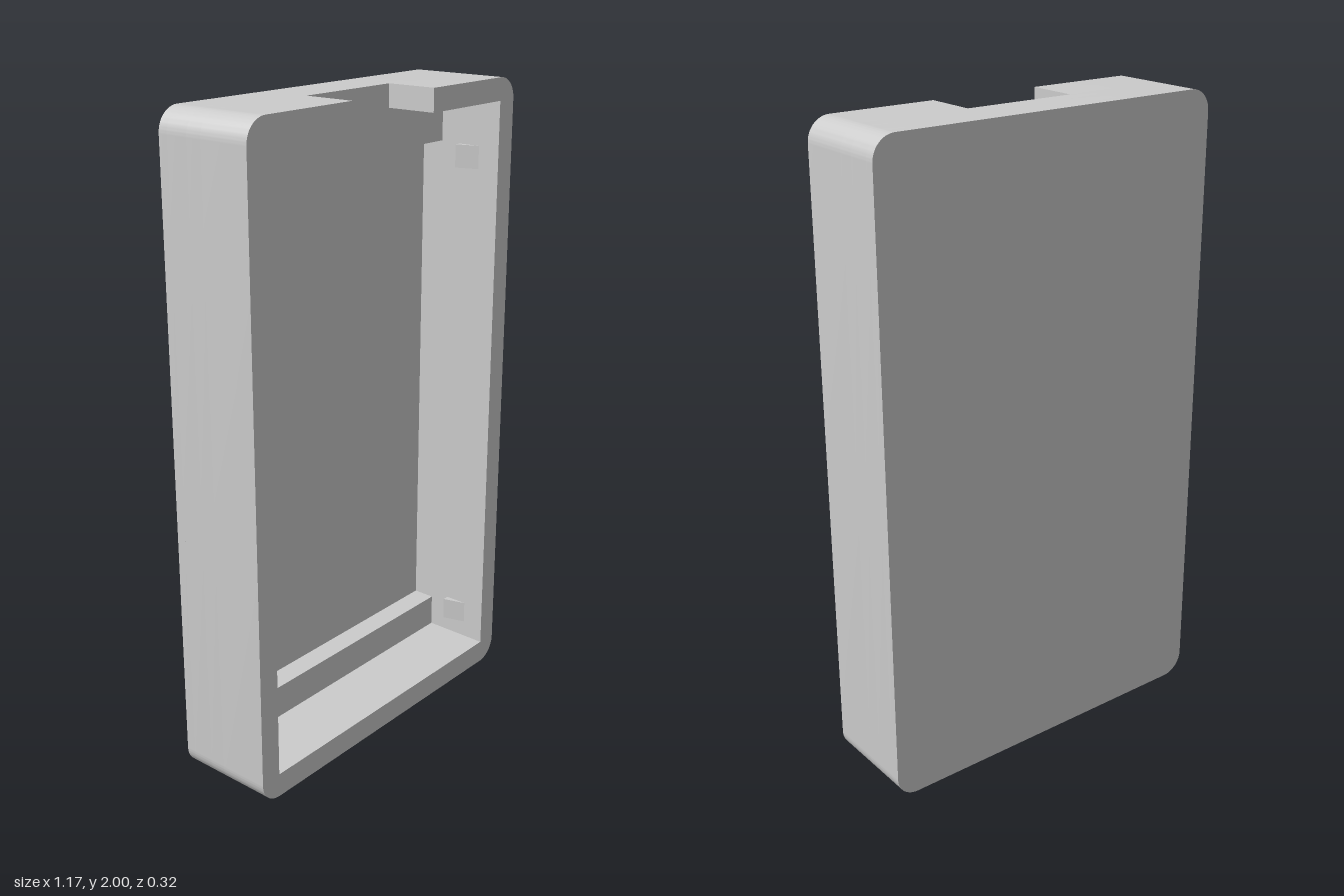
import * as THREE from 'three';
import { toCreasedNormals } from 'three/addons/utils/BufferGeometryUtils.js';

const W = 0.585, H = 2, R = 0.07;               // outer half width, height, corner radius
const IN = 0.515, Y0 = 0.075, Y1 = 1.93;        // inner cavity
const NOTCH = 0.18;                             // half width of the top notch
const Z = { back: -0.158, floor: -0.128, ledge: -0.056, notch: -0.005, front: 0.158 };

const material = new THREE.MeshStandardMaterial({ color: 0xcccccc });

// Rounded outline, counter-clockwise from the top edge at x = -gap round to x = +gap
function outline(gap) {
  const s = new THREE.Shape();
  s.moveTo(-gap, H);
  s.lineTo(-W + R, H);
  s.absarc(-W + R, H - R, R, Math.PI / 2, Math.PI, false);
  s.lineTo(-W, R);
  s.absarc(-W + R, R, R, Math.PI, Math.PI * 1.5, false);
  s.lineTo(W - R, 0);
  s.absarc(W - R, R, R, -Math.PI / 2, 0, false);
  s.lineTo(W, H - R);
  s.absarc(W - R, H - R, R, 0, Math.PI / 2, false);
  s.lineTo(gap, H);
  return s;
}

// Closed frame with a rectangular opening
function frame(low, high) {
  const s = outline(0);
  s.holes.push(new THREE.Path([[-IN, low], [-IN, high], [IN, high], [IN, low]]
    .map(([x, y]) => new THREE.Vector2(x, y))));
  return s;
}

// Frame whose top wall is cut through by the notch
function notchedFrame() {
  const s = outline(NOTCH);
  for (const [x, y] of [[NOTCH, Y1], [IN, Y1], [IN, Y0], [-IN, Y0], [-IN, Y1], [-NOTCH, Y1]]) s.lineTo(x, y);
  s.closePath();
  return s;
}

function layer(name, shape, z0, z1) {
  const geo = new THREE.ExtrudeGeometry(shape, { depth: z1 - z0, bevelEnabled: false, curveSegments: 12 });
  geo.translate(0, 0, z0);
  const mesh = new THREE.Mesh(toCreasedNormals(geo, 0.5), material);
  mesh.name = name;
  return mesh;
}

// Wedge catch on a side wall, sloping out from the wall towards the back
function clip(name, side, y, height) {
  const s = new THREE.Shape();
  s.moveTo(side * (IN + 0.01), -0.085);
  s.lineTo(side * IN, -0.085);
  s.lineTo(side * (IN - 0.022), -0.012);
  s.lineTo(side * (IN + 0.01), -0.012);
  s.closePath();
  const geo = new THREE.ExtrudeGeometry(s, { depth: height, bevelEnabled: false });
  geo.rotateX(-Math.PI / 2);
  geo.translate(0, y, 0);
  const mesh = new THREE.Mesh(geo, material);
  mesh.name = name;
  return mesh;
}

export function createModel() {
  const model = new THREE.Group();
  model.name = 'enclosureShell';

  // Shell stacked from back to front
  model.add(
    layer('backPlate', outline(0), Z.back, Z.floor),
    layer('ledgeFrame', frame(0.18, 1.79), Z.floor, Z.ledge),
    layer('wallFrame', frame(Y0, Y1), Z.ledge, Z.notch),
    layer('notchedRim', notchedFrame(), Z.notch, Z.front),
  );

  // Four catches on the inner side walls
  for (const [sideName, side] of [['left', 1], ['right', -1]]) {
    model.add(clip(sideName + 'UpperClip', side, 1.715, 0.072));
    model.add(clip(sideName + 'LowerClip', side, 0.13, 0.072));
  }
  return model;
}
